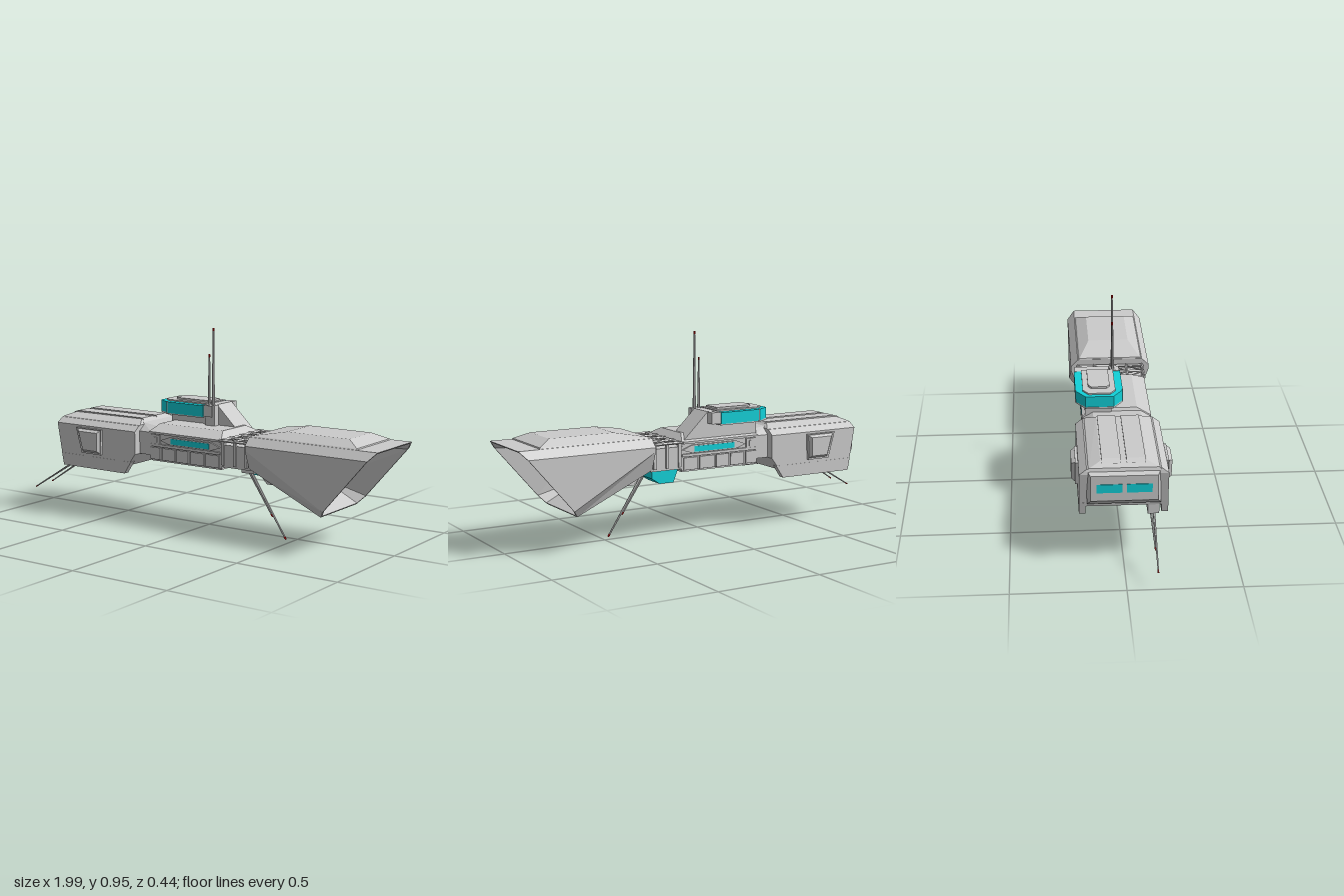
import * as THREE from 'three';
import { ConvexGeometry } from 'three/addons/geometries/ConvexGeometry.js';

const paint = (color, side = THREE.FrontSide) =>
  new THREE.MeshStandardMaterial({ color, flatShading: true, side });
const GREY = paint(0xcccccc), CYAN = paint(0x12d0d8), RED = paint(0xcc1010), BROWN = paint(0x996600);
const SHELL = paint(0xcccccc, THREE.DoubleSide);

export function createModel() {
  const ship = new THREE.Group();
  ship.name = 'spaceship';

  const add = (name, geometry, material = GREY, parent = ship) => {
    const mesh = new THREE.Mesh(geometry, material);
    mesh.name = name;
    parent.add(mesh);
    return mesh;
  };
  const v = (x, y, z) => new THREE.Vector3(x, y, z);
  // box given by its limits
  const box = (name, x0, x1, y0, y1, z0, z1, material) =>
    add(name, new THREE.BoxGeometry(x1 - x0, y1 - y0, z1 - z0)
      .translate((x0 + x1) / 2, (y0 + y1) / 2, (z0 + z1) / 2), material);
  const hull = (name, points, material) => add(name, new ConvexGeometry(points), material);
  // convex side profile [x, y] swept from z0 to z1, with an optional different profile at z1
  const slab = (name, profile, z0, z1, material, profile1 = profile) =>
    hull(name, [...profile.map(([x, y]) => v(x, y, z0)), ...profile1.map(([x, y]) => v(x, y, z1))], material);
  // symmetric solid from rows of [x, y, half width]
  const sym = (name, rows, material) =>
    hull(name, rows.flatMap(([x, y, z]) => [v(x, y, z), v(x, y, -z)]), material);
  const rod = (name, a, b, r0, r1, material, sides = 6) => {
    const d = b.clone().sub(a);
    const mesh = add(name, new THREE.CylinderGeometry(r1, r0, d.length(), sides), material);
    mesh.position.copy(a).addScaledVector(d, 0.5);
    mesh.quaternion.setFromUnitVectors(v(0, 1, 0), d.normalize());
  };
  const antenna = (name, a, b, r0, r1) => {
    const t = a.clone().lerp(b, 1 - 0.014 / a.distanceTo(b));
    rod(name, a, t, r0, r1);
    rod(name + 'Tip', t, b, r1 * 1.15, r1 * 1.1, RED);
  };

  // ---- forward module ----
  sym('forwardHull', [
    [-0.79, 0.45, 0.193], [-0.30, 0.45, 0.193], [-0.785, 0.475, 0.16], [-0.30, 0.475, 0.16],
    [-0.76, 0.28, 0.193], [-0.345, 0.28, 0.193], [-0.30, 0.34, 0.193]]);
  sym('forwardRoof', [
    [-0.79, 0.465, 0.165], [-0.30, 0.465, 0.165], [-0.785, 0.478, 0.15], [-0.30, 0.478, 0.15],
    [-0.75, 0.495, 0.10], [-0.33, 0.497, 0.10]]);
  sym('nose', [
    [-0.775, 0.465, 0.16], [-0.775, 0.30, 0.16], [-0.815, 0.455, 0.145], [-0.815, 0.335, 0.145], [-0.77, 0.30, 0.14]]);
  for (const s of [-1, 1]) {
    slab('roofPanel', [[-0.77, 0.492], [-0.32, 0.492], [-0.33, 0.502], [-0.74, 0.502]], s * 0.012, s * 0.095);
    slab('skirt', [[-0.764, 0.30], [-0.752, 0.24], [-0.365, 0.24], [-0.325, 0.30]], s * 0.165, s * 0.194);
    box('noseWindow', -0.818, -0.81, 0.375, 0.415, s * 0.065 - 0.055, s * 0.065 + 0.055, CYAN);
    // side blister with an inset face
    slab('sidePod', [[-0.66, 0.44], [-0.50, 0.44], [-0.505, 0.315], [-0.625, 0.315]], s * 0.18, s * 0.205, GREY);
    slab('sidePodFace', [[-0.655, 0.438], [-0.502, 0.438], [-0.507, 0.32], [-0.62, 0.32]], s * 0.2, s * 0.222, GREY,
      [[-0.63, 0.425], [-0.515, 0.425], [-0.517, 0.335], [-0.605, 0.335]]);
  }
  for (const z of [-0.1, 0, 0.1]) box('forwardKeelPanel', -0.73, -0.37, 0.272, 0.285, z - 0.04, z + 0.04);
  box('forwardAntennaMount', -0.76, -0.69, 0.235, 0.285, 0.105, 0.155);
  antenna('forwardAntenna', v(-0.72, 0.255, 0.133), v(-1, 0.085, 0.133), 0.006, 0.003);
  antenna('forwardAntennaShort', v(-0.72, 0.24, 0.12), v(-0.89, 0.128, 0.13), 0.005, 0.003);

  // ---- neck and middle body ----
  sym('neck', [
    [-0.31, 0.45, 0.155], [-0.23, 0.45, 0.155], [-0.31, 0.34, 0.155], [-0.23, 0.34, 0.155],
    [-0.31, 0.485, 0.11], [-0.23, 0.475, 0.11]]);
  sym('middleHull', [
    [-0.24, 0.45, 0.15], [0.175, 0.45, 0.15], [-0.24, 0.32, 0.15], [0.175, 0.32, 0.15]]);
  sym('middleRoof', [
    [-0.24, 0.445, 0.16], [0.18, 0.445, 0.16], [-0.24, 0.455, 0.16], [0.18, 0.455, 0.16],
    [-0.22, 0.487, 0.095], [0.145, 0.487, 0.095]]);
  for (const s of [-1, 1]) {
    box('sideBelt', -0.24, 0.175, 0.385, 0.398, s * 0.152 - 0.008, s * 0.152 + 0.008);
    slab('sideWindowFrame', [[-0.175, 0.417], [-0.12, 0.437], [0.12, 0.437], [0.175, 0.417], [0.12, 0.4], [-0.12, 0.4]],
      s * 0.145, s * 0.157);
    box('sideWindow', -0.11, 0.11, 0.405, 0.431, s * 0.156 - 0.004, s * 0.156 + 0.004, CYAN);
    box('hatchFrame', -0.232, -0.178, 0.396, 0.442, s * 0.152 - 0.006, s * 0.152 + 0.006);
    box('hatch', -0.218, -0.192, 0.405, 0.432, s * 0.156 - 0.006, s * 0.156 + 0.006);
    for (const [x0, x1] of [[-0.235, -0.175], [-0.165, -0.09], [-0.08, -0.01], [0, 0.08], [0.09, 0.165]])
      box('lowerSidePanel', x0, x1, 0.322, 0.38, s * 0.151 - 0.006, s * 0.151 + 0.006);
  }
  for (const z of [-0.11, -0.037, 0.037, 0.11]) box('keelPanel', -0.235, 0.17, 0.312, 0.325, z - 0.032, z + 0.032);

  // ---- truss section ----
  box('trussCore', 0.17, 0.34, 0.33, 0.435, -0.155, 0.155);
  const trussY = 0.455;
  for (const z of [-0.16, -0.08, 0, 0.08, 0.16]) {
    rod('trussBeam', v(0.17, trussY, z), v(0.345, trussY, z), 0.007, 0.007, GREY, 4);
    if (z < 0.16) {
      rod('trussBrace', v(0.185, trussY, z), v(0.255, trussY, z + 0.08), 0.004, 0.004, GREY, 4);
      rod('trussBrace', v(0.325, trussY, z), v(0.255, trussY, z + 0.08), 0.004, 0.004, GREY, 4);
    }
  }
  for (const x of [0.185, 0.255, 0.325])
    rod('trussCrossbar', v(x, trussY, -0.163), v(x, trussY, 0.163), 0.007, 0.007, GREY, 4);
  for (const x of [0.19, 0.255, 0.32]) for (const z of [-0.157, 0.157])
    box('trussPost', x - 0.007, x + 0.007, 0.34, 0.46, z - 0.006, z + 0.006);

  // ---- bridge tower, set to one side ----
  const zc = -0.08;
  slab('tower', [[-0.24, 0.46], [-0.24, 0.53], [-0.2, 0.585], [0.03, 0.585], [0.05, 0.562], [0.165, 0.455]], -0.145, -0.023);
  const deck = (name, x0, x1, w, nose, y0, y1, material) => hull(name, [y0, y1].flatMap(y => [
    v(x0, y, zc - w + nose), v(x0, y, zc + w - nose), v(x0 + nose * 1.5, y, zc - w), v(x0 + nose * 1.5, y, zc + w),
    v(x1, y, zc - w), v(x1, y, zc + w)]), material);
  deck('bridgeFloor', -0.3, -0.015, 0.107, 0.045, 0.522, 0.53);
  deck('bridgeWindows', -0.297, -0.017, 0.109, 0.045, 0.528, 0.582, CYAN);
  deck('bridgeRim', -0.275, -0.014, 0.075, 0.025, 0.575, 0.589);
  deck('bridgeRoof', -0.225, -0.03, 0.05, 0.015, 0.585, 0.598);
  for (const s of [-1, 1]) {
    box('bridgeRearBlock', -0.018, 0.03, 0.53, 0.584, zc + s * 0.085 - 0.02, zc + s * 0.085 + 0.02);
    box('windowPost', -0.232, -0.226, 0.525, 0.586, zc + s * 0.108 - 0.003, zc + s * 0.108 + 0.003);
  }
  box('mastBase', -0.016, 0.04, 0.48, 0.585, -0.02, 0.014);
  antenna('mast', v(0.02, 0.55, -0.005), v(0.02, 0.95, -0.007), 0.008, 0.004);
  antenna('shortMast', v(-0.004, 0.55, -0.005), v(-0.004, 0.825, -0.007), 0.007, 0.004);

  // ---- belly cabin and rear antennas ----
  slab('bellyCabin', [[0.185, 0.335], [0.325, 0.335], [0.325, 0.295], [0.285, 0.268], [0.212, 0.268]], -0.14, -0.03, CYAN);
  box('rearAntennaMount', 0.235, 0.3, 0.295, 0.335, 0.01, 0.07);
  antenna('rearAntenna', v(0.26, 0.31, 0.04), v(0.462, 0.003, 0.04), 0.007, 0.004);
  antenna('rearAntennaShort', v(0.255, 0.3, 0.04), v(0.388, 0.1, 0.04), 0.005, 0.003);

  // ---- aft scoop: outer shell, slanted rim and hollow interior ----
  // octagon with half width w, corner cut c, side from y1 up to y2, bottom y0 and top y3
  const ring = (x, w, c, y0, y1, y2, y3) => [
    [w - c, y3], [w, y2], [w, y1], [w - c, y0], [c - w, y0], [-w, y1], [-w, y2], [c - w, y3],
  ].map(([z, y]) => [typeof x === 'function' ? x(y) : x, y, z]);
  const rimX = y => 0.715 + 0.86 * (y - 0.165);
  const rings = [
    ring(0.335, 0.195, 0.035, 0.34, 0.43, 0.45, 0.487),
    ring(rimX, 0.195, 0.035, 0.166, 0.2, 0.45, 0.487),
    ring(rimX, 0.188, 0.033, 0.173, 0.205, 0.446, 0.48),
    ring(0.55, 0.16, 0.004, 0.26, 0.264, 0.431, 0.435),
  ];
  const pos = [], idx = [];
  rings.forEach(r => r.forEach(p => pos.push(...p)));
  for (let k = 0; k < 3; k++) for (let i = 0; i < 8; i++) {
    const a = k * 8 + i, b = k * 8 + (i + 1) % 8;
    idx.push(a, a + 8, b, b, a + 8, b + 8);
  }
  for (let i = 1; i < 7; i++) idx.push(0, i, i + 1, 24, 24 + i + 1, 24 + i);
  let shell = new THREE.BufferGeometry();
  shell.setAttribute('position', new THREE.Float32BufferAttribute(pos, 3));
  shell.setIndex(idx);
  shell = shell.toNonIndexed();
  shell.computeVertexNormals();
  add('scoopShell', shell, SHELL);
  box('scoopPanel', 0.551, 0.556, 0.261, 0.434, -0.159, 0.159, BROWN);
  sym('scoopRoof', [
    [0.335, 0.483, 0.16], [0.89, 0.483, 0.16], [0.34, 0.492, 0.15], [0.885, 0.492, 0.15],
    [0.50, 0.52, 0.10], [0.82, 0.52, 0.10]]);
  for (const s of [-1, 1])
    slab('scoopBracket', [[0.35, 0.35], [0.42, 0.275], [0.49, 0.275], [0.49, 0.3]], s * 0.105, s * 0.14);

  return ship;
}
